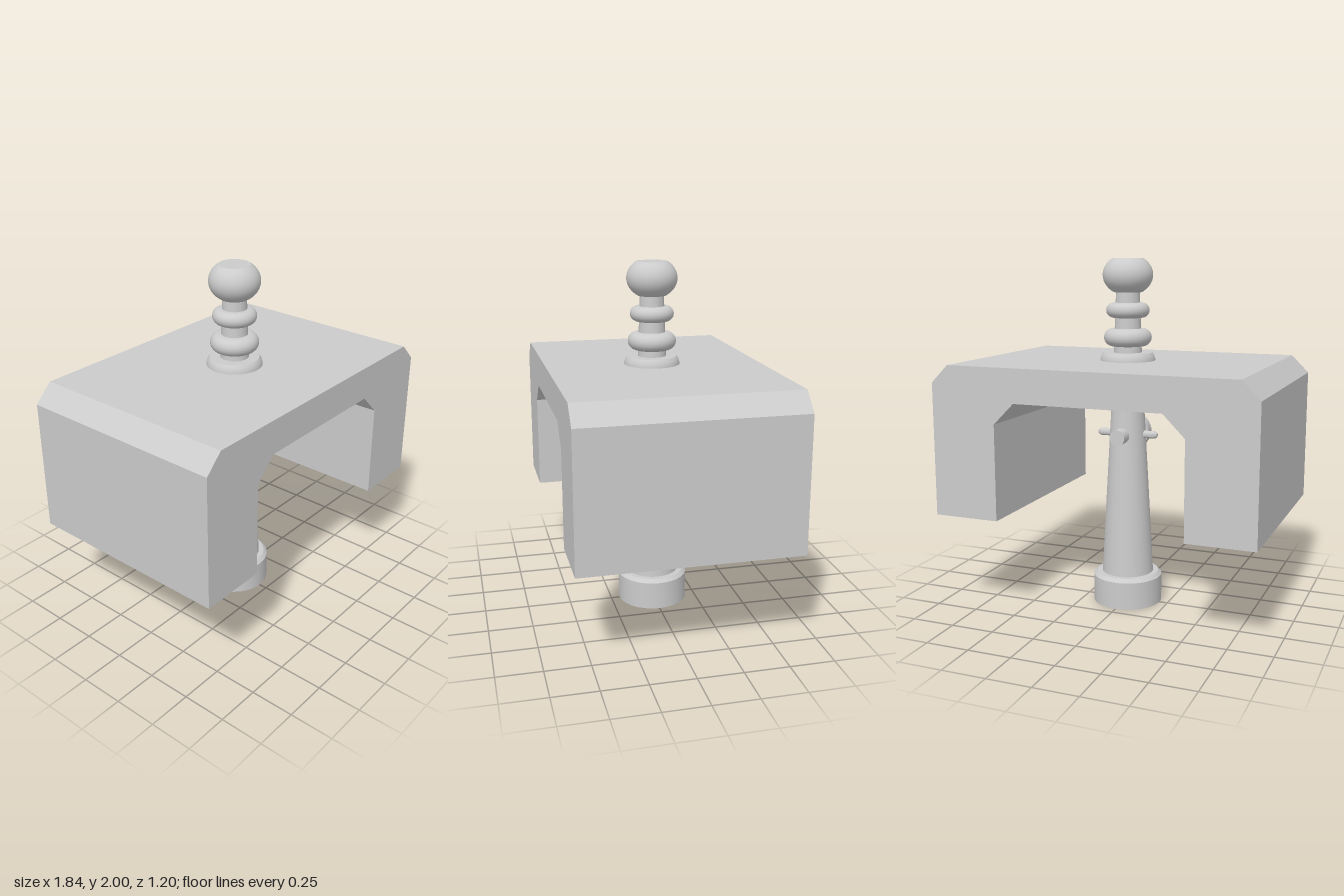
import * as THREE from 'three';
import { toCreasedNormals } from 'three/addons/utils/BufferGeometryUtils.js';

const material = new THREE.MeshStandardMaterial({ color: 0xcccccc });

function part(name, geometry) {
  const mesh = new THREE.Mesh(toCreasedNormals(geometry, 0.5), material);
  mesh.name = name;
  return mesh;
}

// Turned part from [radius, height] pairs, bottom to top
function turned(name, profile, segments = 40) {
  return part(name, new THREE.LatheGeometry(profile.map(([r, y]) => new THREE.Vector2(r, y)), segments));
}

// Rounded ring bulging from the neck between two heights
function ring(name, inner, outer, y0, y1) {
  const h = (y1 - y0) / 2, profile = [[inner, y0]];
  for (let i = 0; i <= 10; i++) {
    const a = -Math.PI / 2 + (Math.PI * i) / 10;
    profile.push([outer - h + h * Math.cos(a), (y0 + y1) / 2 + h * Math.sin(a)]);
  }
  profile.push([inner, y1]);
  return turned(name, profile);
}

export function createModel() {
  const model = new THREE.Group();

  // Arched block with chamfered shoulders
  const half = [[0.54, 0.58], [0.92, 0.58], [0.92, 1.33], [0.82, 1.43]];
  const inner = [[0.42, 1.24], [0.54, 1.12]];
  const mirror = (pts) => pts.map(([x, y]) => [-x, y]).reverse();
  const outline = [...half, ...mirror(half), ...mirror(inner), ...inner];
  const arch = new THREE.ExtrudeGeometry(
    new THREE.Shape(outline.map(([x, y]) => new THREE.Vector2(x, y))),
    { depth: 1.2, bevelEnabled: false });
  arch.translate(0, 0, -0.6);
  model.add(part('archBlock', arch));

  // Base foot and tapered column
  model.add(turned('foot', [[0, 0], [0.2, 0], [0.2, 0.16], [0.18, 0.18], [0, 0.18]]));
  model.add(turned('column', [[0.15, 0.18], [0.09, 1.25]]));

  // Handle: collar, neck, two rings and a flattened ball
  model.add(turned('collar', [[0, 1.425], [0.157, 1.425], [0.157, 1.435], [0.15, 1.46], [0.138, 1.475], [0, 1.475]]));
  model.add(turned('neck', [[0.08, 1.47], [0.067, 1.82]]));
  model.add(ring('lowerRing', 0.07, 0.136, 1.51, 1.61));
  model.add(ring('upperRing', 0.065, 0.123, 1.67, 1.755));
  const ball = [[0, 1.805]];
  for (let i = 0; i <= 16; i++) {
    const a = THREE.MathUtils.lerp(-0.98, 0.9, i / 16);
    ball.push([0.142 * Math.cos(a), 1.909 + 0.116 * Math.sin(a)]);
  }
  ball.push([0, 2]);
  model.add(turned('ballKnob', ball));

  // Valve on the column: stem along z, front disc and cross bar
  const valve = new THREE.Group();
  valve.name = 'valve';
  valve.position.y = 1.005;
  const stem = turned('valveStem', [[0, -0.17], [0.045, -0.17], [0.045, 0.19], [0.025, 0.2], [0.025, 0.22], [0, 0.22]], 20);
  const disc = turned('valveDisc', [[0, 0.07], [0.1, 0.07], [0.1, 0.125], [0.085, 0.14], [0, 0.14]], 32);
  stem.rotation.x = disc.rotation.x = Math.PI / 2;
  const bar = turned('valveBar', [[0, -0.18], [0.012, -0.18], [0.022, -0.165], [0.022, 0.165], [0.012, 0.18], [0, 0.18]], 16);
  bar.rotation.z = Math.PI / 2;
  valve.add(stem, disc, bar);
  model.add(valve);

  return model;
}
